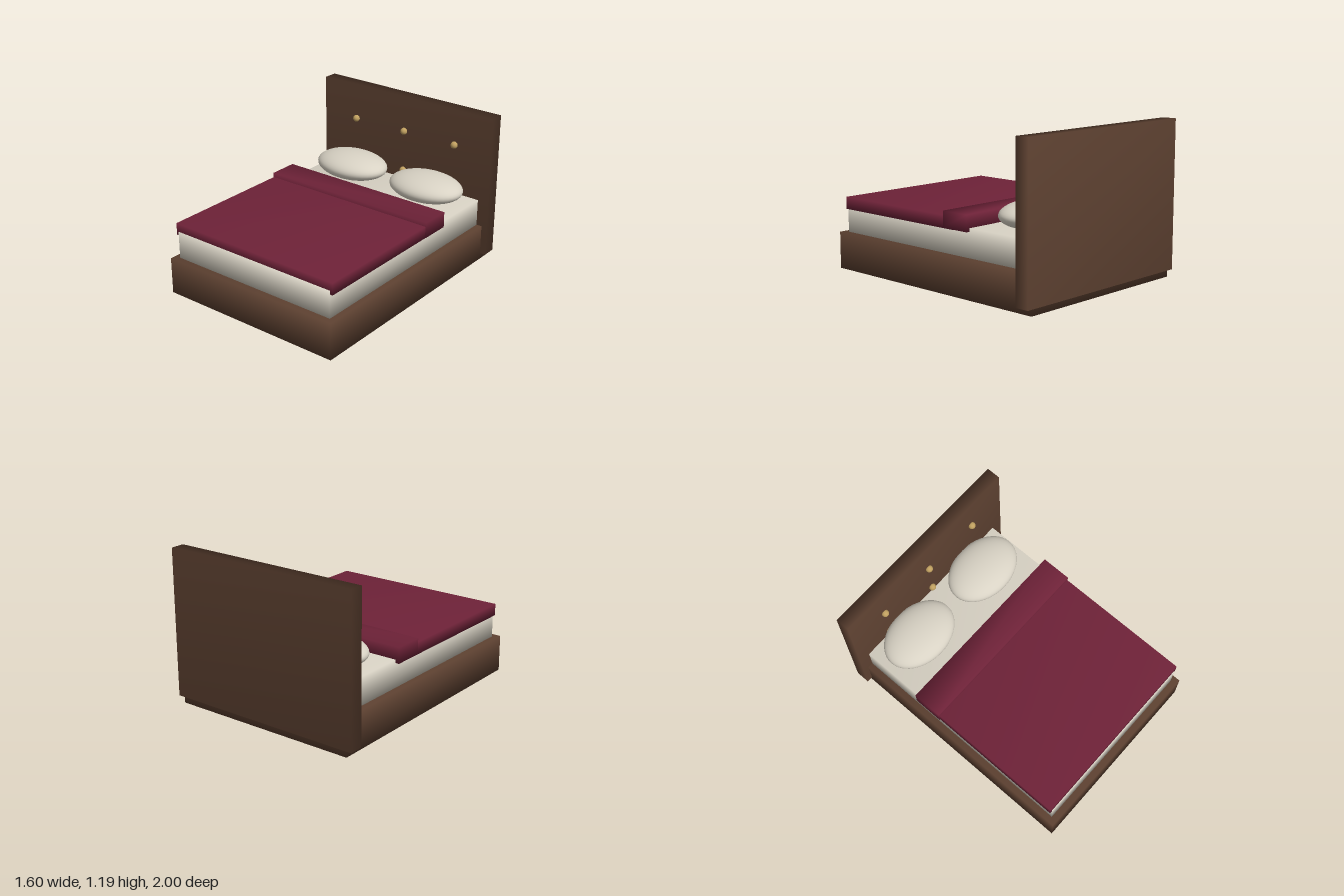
import * as THREE from 'three';
import { mergeVertices } from 'three/addons/utils/BufferGeometryUtils.js';

const material = (color) => new THREE.MeshStandardMaterial({ color });

export function createModel() {
  const bed = new THREE.Group();
  bed.name = 'bed';
  const wood = material(0x5c4030);
  const linen = material(0xd8d2c4);
  const wine = material(0x6e2238);
  const brass = material(0xc0a060);

  const add = (name, geometry, mat, x, y, z) => {
    const mesh = new THREE.Mesh(geometry, mat);
    mesh.name = name;
    mesh.position.set(x, y, z);
    bed.add(mesh);
    return mesh;
  };

  // Box centred on x, given by its extents, with corner normals shared for soft shading
  const block = (name, mat, width, y0, y1, z0, z1) => {
    let geometry = new THREE.BoxGeometry(width, y1 - y0, z1 - z0);
    geometry.deleteAttribute('normal');
    geometry.deleteAttribute('uv');
    geometry = mergeVertices(geometry);
    geometry.computeVertexNormals();
    return add(name, geometry, mat, 0, (y0 + y1) / 2, (z0 + z1) / 2);
  };

  // Frame
  block('base', wood, 1.51, 0, 0.285, -0.99, 1);
  block('headboard', wood, 1.604, 0.05, 1.187, -1, -0.89);

  // Bedding
  block('mattress', linen, 1.418, 0.285, 0.497, -0.93, 0.95);
  block('blanket', wine, 1.46, 0.468, 0.561, -0.235, 0.946);
  block('blanketFold', wine, 1.474, 0.472, 0.594, -0.37, -0.135);

  // Pillows
  for (const side of [-1, 1]) {
    const name = side > 0 ? 'leftPillow' : 'rightPillow';
    const pillow = add(name, new THREE.SphereGeometry(1, 40, 24), linen, side * 0.36, 0.594, -0.68);
    pillow.scale.set(0.31, 0.102, 0.225);
  }

  // Two rows of headboard studs
  const stud = new THREE.SphereGeometry(0.028, 20, 14);
  for (const y of [0.902, 0.566]) {
    for (const x of [-0.475, 0, 0.475]) add('headboardStud', stud, brass, x, y, -0.88);
  }

  return bed;
}
